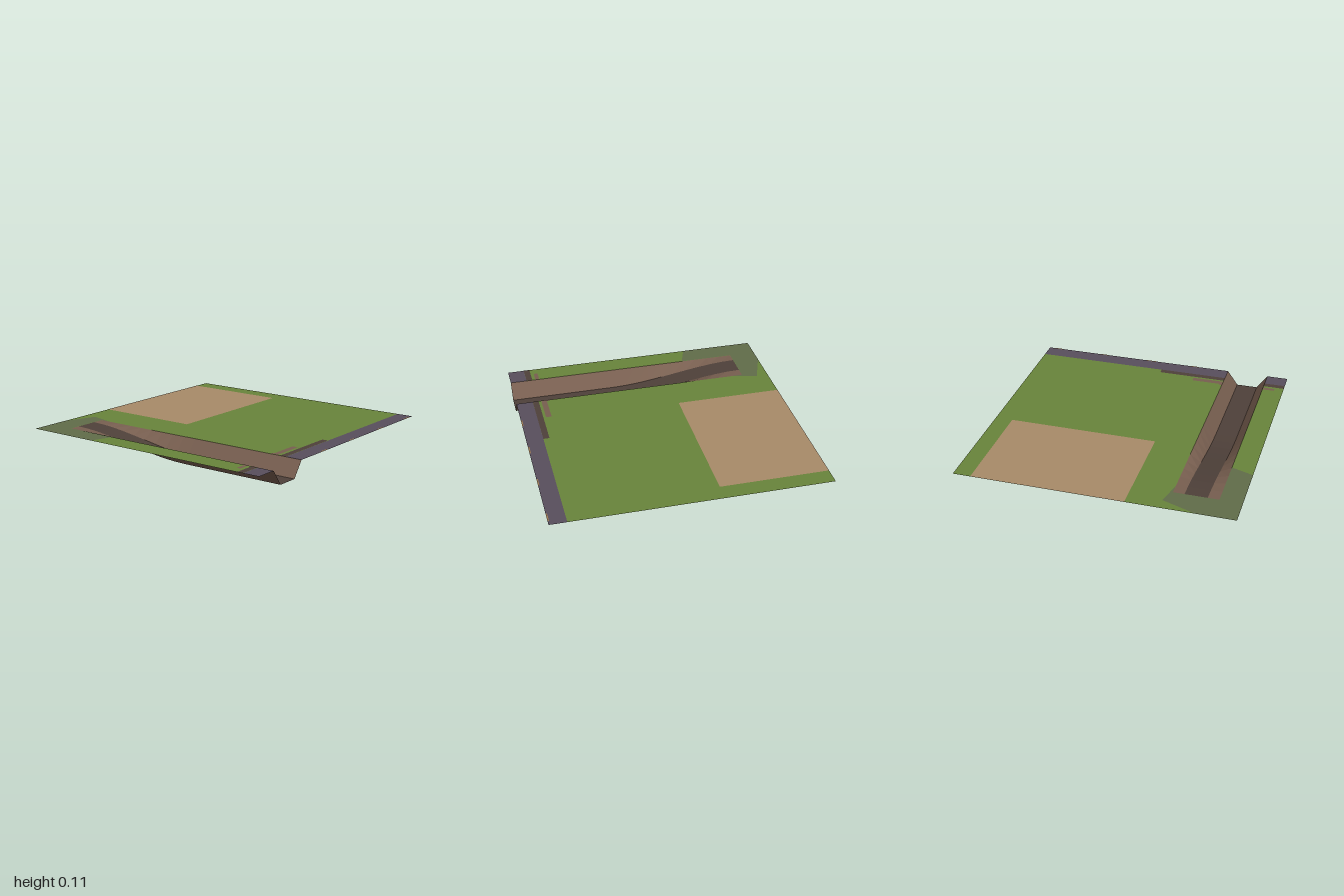
import * as THREE from 'three';

const GROUND = 0.112;
const material = (name, color) => {
  const m = new THREE.MeshStandardMaterial({ color, side: THREE.DoubleSide });
  m.name = name;
  return m;
};

export function createModel() {
  const group = new THREE.Group();
  const grass = material('grass green', 0x69853b);
  const sand = material('sandy tan', 0xa98b69);
  const moss = material('mossy grey green', 0x616d49);
  const road = material('road purple grey', 0x594f5d);
  const darkSoil = material('dark soil', 0x4f413a);
  const lightSoil = material('light soil', 0x785f50);
  const dash = material('dash ochre', 0xa07a50);

  const add = (name, geometry, mat) => {
    const mesh = new THREE.Mesh(geometry, mat);
    mesh.name = name;
    group.add(mesh);
  };

  // Flat sheet facing up, outlined by [x, z] points
  const sheet = (name, points, mat, lift = 0) => {
    const shape = new THREE.Shape(points.map(([x, z]) => new THREE.Vector2(x, -z)));
    const geometry = new THREE.ShapeGeometry(shape);
    geometry.rotateX(-Math.PI / 2).translate(0, GROUND + lift, 0);
    add(name, geometry, mat);
  };
  const rect = (name, x0, x1, z0, z1, mat, lift) =>
    sheet(name, [[x0, z0], [x0, z1], [x1, z1], [x1, z0]], mat, lift);

  // Trench cross-section: rim and floor edges
  const RIM = [-0.84, -0.52], FLOOR = [-0.76, -0.6], END = -0.8;

  // Ground with a notch for the trench, and the road along the front edge
  sheet('ground', [[-1, -1], [-1, 0.875], [RIM[0], 0.875], [RIM[0], END],
    [RIM[1], END], [RIM[1], 0.875], [1, 0.875], [1, -1]], grass);
  rect('roadLeftOfTrench', -1, RIM[0], 0.875, 1, road);
  rect('roadRightOfTrench', RIM[1], 1, 0.875, 1, road);
  for (const x of [-0.28, 0.08, 0.48, 0.88]) rect('roadDash', x, x + 0.08, 0.99, 1, dash, 0.002);

  // Thin ground patches
  rect('sandPlot', -0.235, 0.87, -1, -0.205, sand, 0.001);
  sheet('mossPatch', [[-1, -1], [-1, -0.445], [RIM[0], -0.39], [RIM[0], END], [RIM[1], END],
    [RIM[1], -0.72], [-0.475, -0.91], [-0.72, -1]], moss, 0.001);
  rect('soilStrip', -1, RIM[0], 0.83, 0.875, darkSoil, 0.001);
  rect('soilStrip', RIM[1], 0, 0.83, 0.875, darkSoil, 0.001);
  rect('plank', -0.93, RIM[0], 0.775, 0.805, lightSoil, 0.002);
  rect('plank', RIM[1], -0.28, 0.768, 0.81, lightSoil, 0.002);
  rect('plankTip', RIM[1], -0.5, 0.752, 0.768, lightSoil, 0.002);

  // Trench depth eases from level ground at the back down to the floor
  const floorY = (z) => GROUND * (1 - THREE.MathUtils.smoothstep(z, END, 0.2));
  const rimY = () => GROUND;

  // Ribbon along z between a left and a right edge, facing up
  const ribbon = (name, xa, ya, xb, yb, mat) => {
    const positions = [], n = 18;
    for (let i = 0; i < n; i++) {
      const z0 = END + (1.8 * i) / n, z1 = END + (1.8 * (i + 1)) / n;
      const a = [xa, ya(z0), z0], b = [xa, ya(z1), z1];
      const c = [xb, yb(z1), z1], d = [xb, yb(z0), z0];
      positions.push(...a, ...b, ...c, ...a, ...c, ...d);
    }
    const geometry = new THREE.BufferGeometry();
    geometry.setAttribute('position', new THREE.Float32BufferAttribute(positions, 3));
    geometry.computeVertexNormals();
    add(name, geometry, mat);
  };
  ribbon('trenchFloor', FLOOR[0], floorY, FLOOR[1], floorY, darkSoil);
  ribbon('trenchWallRight', RIM[0], rimY, FLOOR[0], floorY, lightSoil);
  ribbon('trenchWallLeft', FLOOR[1], floorY, RIM[1], rimY, lightSoil);

  return group;
}
